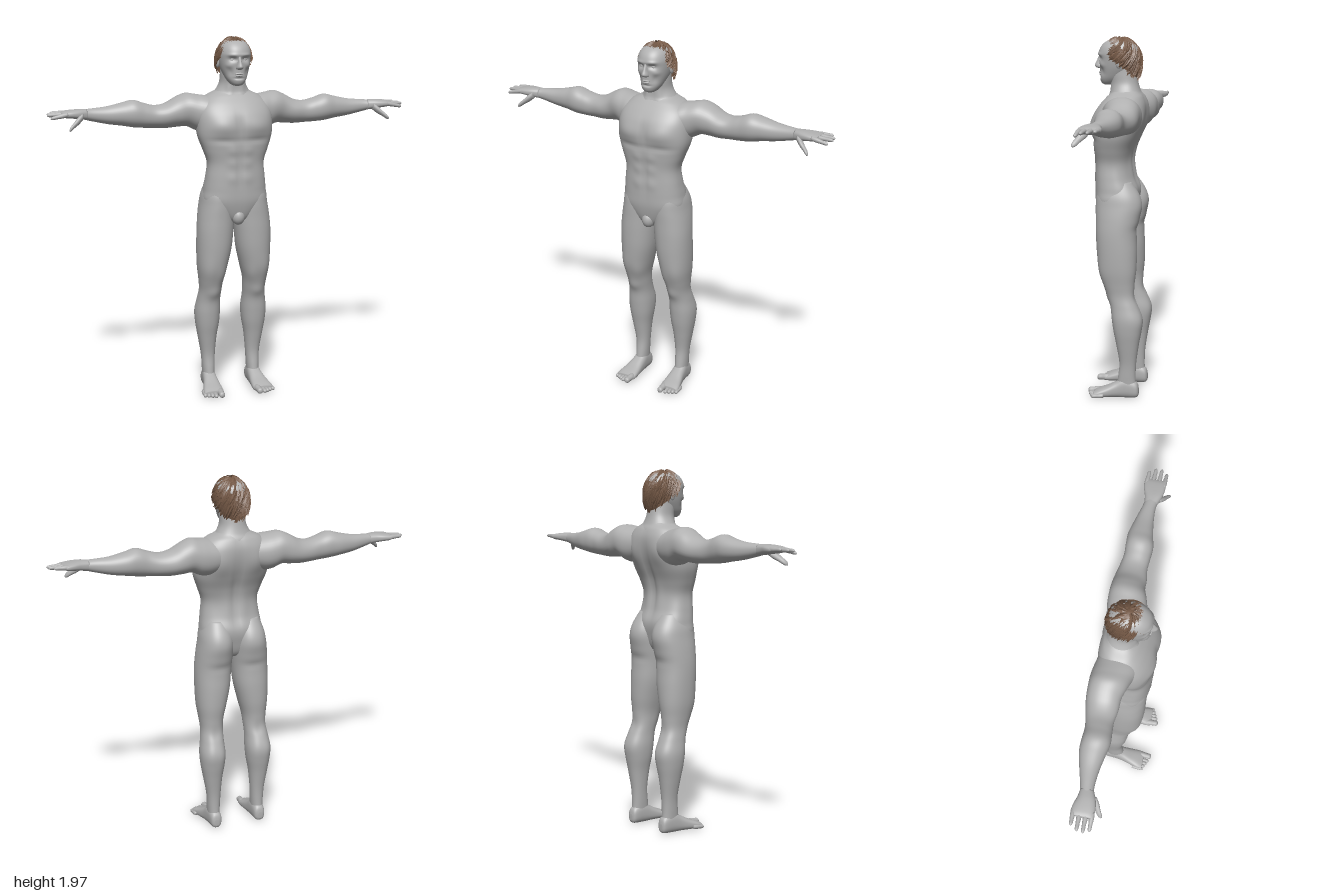
import * as THREE from 'three';

const skin = new THREE.MeshStandardMaterial({ color: 0xb0b0b0 });
skin.name = 'grey skin';
const brown = new THREE.MeshStandardMaterial({ color: 0x765a47, side: THREE.DoubleSide });
brown.name = 'brown hair';

const AXES = { x: [0, 1, 2], y: [1, 2, 0], z: [2, 0, 1] };

// Smooth skin through sections [t, a0, a1, b0, b1] along an axis (a, b follow it cyclically:
// x -> y,z   y -> z,x   z -> x,y). Bumps [x,y,z, sx,sy,sz, amount] push along the normal.
function loft(axis, rows, { power = 2.2, bumps = [], seg = 40, steps = 6 } = {}) {
  const [T, A, B] = AXES[axis], pos = [], idx = [];
  const add = (t, a, b) => { const p = [0, 0, 0]; p[T] = t; p[A] = a; p[B] = b; pos.push(...p); };
  const row = (i) => rows[Math.min(rows.length - 1, Math.max(0, i))];
  const n = (rows.length - 1) * steps;
  for (let i = 0; i <= n; i++) {
    const k = Math.min(rows.length - 2, Math.floor(i / steps)), u = i / steps - k;
    const [t, a0, a1, b0, b1] = row(k).map((p1, c) => {
      const p0 = row(k - 1)[c], p2 = row(k + 1)[c], p3 = row(k + 2)[c];
      return p1 + 0.5 * u * (p2 - p0 + u * (2 * p0 - 5 * p1 + 4 * p2 - p3 + u * (3 * (p1 - p2) + p3 - p0)));
    });
    for (let j = 0; j < seg; j++) {
      const w = (j / seg) * Math.PI * 2, c = Math.cos(w), s = Math.sin(w), e = 2 / power;
      add(t, (a0 + a1) / 2 + (a1 - a0) / 2 * Math.sign(c) * Math.abs(c) ** e,
        (b0 + b1) / 2 + (b1 - b0) / 2 * Math.sign(s) * Math.abs(s) ** e);
    }
  }
  for (let i = 0; i < n; i++) for (let j = 0; j < seg; j++) {
    const p = i * seg + j, q = i * seg + (j + 1) % seg;
    idx.push(p, q, p + seg, q, q + seg, p + seg);
  }
  for (const [r, ring, flip] of [[rows[0], 0, true], [rows[rows.length - 1], n, false]]) {
    const c = pos.length / 3;
    add(r[0], (r[1] + r[2]) / 2, (r[3] + r[4]) / 2);
    for (let j = 0; j < seg; j++) {
      const p = ring * seg + j, q = ring * seg + (j + 1) % seg;
      idx.push(c, flip ? q : p, flip ? p : q);
    }
  }
  const g = new THREE.BufferGeometry();
  g.setAttribute('position', new THREE.Float32BufferAttribute(pos, 3));
  g.setIndex(idx);
  g.computeVertexNormals();
  const P = g.attributes.position, N = g.attributes.normal;
  for (let i = 0; i < P.count; i++) {
    const v = new THREE.Vector3().fromBufferAttribute(P, i), m = new THREE.Vector3().fromBufferAttribute(N, i);
    let d = 0;
    for (const [x, y, z, sx, sy, sz, amt] of bumps)
      d += amt * Math.exp(-(((v.x - x) / sx) ** 2) - ((v.y - y) / sy) ** 2 - ((v.z - z) / sz) ** 2);
    v.addScaledVector(m, d);
    P.setXYZ(i, v.x, v.y, v.z);
  }
  g.computeVertexNormals();
  return g;
}

const ball = (x, y, z, rx, ry, rz) => new THREE.SphereGeometry(1, 20, 14).scale(rx, ry, rz).translate(x, y, z);

// Mirrored copy with its winding turned back outwards
function mirror(g) {
  const m = g.clone().scale(-1, 1, 1), ix = m.index.array;
  for (let i = 0; i < ix.length; i += 3) [ix[i], ix[i + 1]] = [ix[i + 1], ix[i]];
  m.computeVertexNormals();
  return m;
}
const both = (list) => list.flatMap((b) => [b, [-b[0], ...b.slice(1)]]);

// Rounded finger or toe whose centre runs from p to q
function digit(axis, p, q, r0, r1) {
  const [T, A, B] = AXES[axis];
  const rows = [[0, 0.8], [0.3, 1], [0.6, 0.92], [0.85, 0.95], [0.96, 0.65], [1, 0.1]].map(([u, k]) => {
    const c = p.map((v, i) => v + (q[i] - v) * u), r = (r0 + (r1 - r0) * u) * k;
    return [c[T], c[A] - r, c[A] + r, c[B] - r, c[B] + r];
  });
  return loft(axis, rows, { seg: 14, steps: 3, power: 2 });
}

// Point on the scalp: a = heading, t = crown to hairline, off = height above the scalp
function scalp(a, t, off) {
  const s = Math.sin(a), edge = s > 0 ? 1.83 + 0.07 * s : 1.83 + 0.08 * s;
  const phi = t * Math.acos((edge - 1.835) / 0.125);
  const r = Math.max(0, Math.sin(phi)) ** (phi > Math.PI / 2 ? 0.55 : 1);
  return [Math.cos(a) * r * (0.092 + off), 1.835 + Math.cos(phi) * (0.125 + off), s * r * (0.109 + off) - 0.004];
}

function hairCap() {
  const pos = [], idx = [], S = 48, R = 12;
  for (let i = 0; i <= R; i++) for (let j = 0; j < S; j++) pos.push(...scalp(j / S * Math.PI * 2, i / R, 0));
  for (let i = 0; i < R; i++) for (let j = 0; j < S; j++) {
    const p = i * S + j, q = i * S + (j + 1) % S;
    idx.push(p, q, p + S, q, q + S, p + S);
  }
  const g = new THREE.BufferGeometry();
  g.setAttribute('position', new THREE.Float32BufferAttribute(pos, 3));
  g.setIndex(idx);
  g.computeVertexNormals();
  // outward normals
  if (g.attributes.normal.getY(S * 2) < 0) { g.index.array.reverse(); g.computeVertexNormals(); }
  return g;
}

// Ridged, tapering locks sweeping down from the crown
function hairLocks() {
  let seed = 7;
  const rnd = () => (seed = (seed * 16807) % 2147483647) / 2147483647;
  const pos = [];
  for (let n = 0; n < 300; n++) {
    const a0 = rnd() * Math.PI * 2, t0 = 0.03 + 0.72 * Math.sqrt(rnd()), len = 0.24 + 0.12 * rnd();
    const swirl = 0.2 + 0.25 * rnd(), lift = 0.006 + 0.006 * rnd();
    let last = null;
    for (let k = 0; k <= 4; k++) {
      const u = k / 4, t = t0 + len * u, a = a0 + swirl * u;
      const w = 0.13 * (1.02 - u * u) / Math.max(0.35, Math.sin(t * 1.6));
      const ring = [scalp(a + w, t, 0.001 + 0.004 * u), scalp(a, t, lift), scalp(a - w, t, 0.001 + 0.004 * u)];
      if (last) for (const s of [0, 1])
        pos.push(...last[s], ...last[s + 1], ...ring[s], ...last[s + 1], ...ring[s + 1], ...ring[s]);
      last = ring;
    }
  }
  const g = new THREE.BufferGeometry();
  g.setAttribute('position', new THREE.Float32BufferAttribute(pos, 3));
  g.computeVertexNormals();
  return g;
}

export function createModel() {
  const model = new THREE.Group();
  model.name = 'standing man';
  const put = (name, g, mat = skin) => { const m = new THREE.Mesh(g, mat); m.name = name; model.add(m); };
  const pair = (name, g) => { put(name + 'Left', g); put(name + 'Right', mirror(g)); };

  // Torso, with chest, belly, shoulder blades and spine shaped by bumps
  put('torso', loft('y', [
    [0.965, 0.01, 0.07, -0.02, 0.02], [1.0, -0.07, 0.1, -0.09, 0.09], [1.08, -0.1, 0.122, -0.172, 0.172],
    [1.15, -0.108, 0.127, -0.172, 0.172], [1.22, -0.082, 0.127, -0.163, 0.163], [1.3, -0.07, 0.126, -0.156, 0.156],
    [1.37, -0.084, 0.132, -0.178, 0.178], [1.44, -0.112, 0.138, -0.202, 0.202], [1.5, -0.132, 0.14, -0.208, 0.208],
    [1.56, -0.143, 0.13, -0.205, 0.205], [1.61, -0.143, 0.1, -0.19, 0.19], [1.65, -0.13, 0.065, -0.15, 0.15],
    [1.675, -0.112, 0.04, -0.1, 0.1], [1.7, -0.1, 0.03, -0.06, 0.06],
  ], { power: 2.45, seg: 72, bumps: both([
    [0.09, 1.5, 0.13, 0.07, 0.045, 0.07, 0.013], [0.09, 1.425, 0.13, 0.08, 0.015, 0.06, -0.006],
    [0.04, 1.37, 0.13, 0.028, 0.025, 0.05, 0.005], [0.04, 1.3, 0.13, 0.028, 0.025, 0.05, 0.005],
    [0.04, 1.22, 0.13, 0.03, 0.03, 0.05, 0.005], [0.1, 1.53, -0.14, 0.05, 0.07, 0.06, 0.012],
    [0.045, 1.27, -0.07, 0.03, 0.09, 0.05, 0.006], [0, 1.5, 0.14, 0.014, 0.06, 0.05, -0.004],
    [0, 1.28, 0.13, 0.01, 0.12, 0.05, -0.003], [0, 1.4, -0.1, 0.02, 0.2, 0.07, -0.007],
  ]) }));
  put('groin', ball(0, 1.005, 0.083, 0.036, 0.045, 0.038));

  // Neck
  put('neck', loft('y', [
    [1.6, -0.14, 0.06, -0.12, 0.12], [1.65, -0.128, 0.055, -0.12, 0.12], [1.68, -0.112, 0.045, -0.092, 0.092],
    [1.72, -0.1, 0.045, -0.071, 0.071], [1.77, -0.092, 0.055, -0.067, 0.067], [1.82, -0.085, 0.05, -0.066, 0.066],
  ], { bumps: both([[0.035, 1.69, 0.045, 0.015, 0.05, 0.04, 0.006]]) }));

  // Head and face
  put('head', loft('y', [
    [1.712, 0.03, 0.085, -0.02, 0.02], [1.722, 0.01, 0.1, -0.036, 0.036], [1.745, -0.03, 0.108, -0.053, 0.053],
    [1.775, -0.06, 0.107, -0.066, 0.066], [1.81, -0.085, 0.108, -0.077, 0.077], [1.85, -0.1, 0.112, -0.084, 0.084],
    [1.885, -0.104, 0.114, -0.085, 0.085], [1.92, -0.092, 0.098, -0.074, 0.074], [1.945, -0.06, 0.065, -0.05, 0.05],
    [1.955, -0.01, 0.01, -0.01, 0.01],
  ], { seg: 96, steps: 8, bumps: both([
    [0.034, 1.852, 0.1, 0.02, 0.012, 0.04, -0.013], [0.034, 1.875, 0.105, 0.028, 0.008, 0.03, 0.005],
    [0.05, 1.82, 0.085, 0.018, 0.015, 0.03, 0.005], [0.045, 1.785, 0.09, 0.014, 0.022, 0.03, -0.005],
    [0, 1.752, 0.108, 0.025, 0.006, 0.03, -0.004],
  ]) }));
  put('nose', loft('y', [
    [1.798, 0.085, 0.114, -0.01, 0.01], [1.803, 0.08, 0.13, -0.018, 0.018], [1.814, 0.08, 0.139, -0.018, 0.018],
    [1.835, 0.08, 0.13, -0.012, 0.012], [1.86, 0.08, 0.118, -0.01, 0.01], [1.88, 0.08, 0.112, -0.012, 0.012],
  ], { seg: 20, power: 2 }));
  put('upperLip', ball(0, 1.777, 0.104, 0.024, 0.006, 0.01));
  put('lowerLip', ball(0, 1.767, 0.103, 0.021, 0.006, 0.01));
  pair('eye', ball(0.034, 1.851, 0.082, 0.016, 0.01, 0.014));
  pair('ear', ball(0.086, 1.835, -0.012, 0.01, 0.032, 0.019).rotateY(0));

  // Hair
  put('hairCap', hairCap(), brown);
  put('hairLocks', hairLocks(), brown);

  // Arms held out to the sides
  pair('arm', loft('x', [
    [0.08, 1.48, 1.645, -0.135, 0.07], [0.15, 1.462, 1.655, -0.15, 0.07], [0.2, 1.468, 1.662, -0.157, 0.05],
    [0.25, 1.49, 1.668, -0.157, 0.03], [0.3, 1.488, 1.65, -0.155, 0.015], [0.36, 1.484, 1.618, -0.146, 0.01],
    [0.42, 1.487, 1.608, -0.137, 0.005], [0.48, 1.49, 1.622, -0.128, 0.01], [0.54, 1.495, 1.64, -0.13, 0.014],
    [0.6, 1.505, 1.627, -0.13, 0.002], [0.68, 1.517, 1.61, -0.112, -0.012], [0.76, 1.535, 1.603, -0.09, -0.018],
    [0.81, 1.548, 1.6, -0.08, -0.012],
  ], { bumps: [
    [0.25, 1.6, 0.02, 0.06, 0.05, 0.05, 0.006], [0.36, 1.56, 0.01, 0.06, 0.04, 0.04, 0.006],
    [0.34, 1.54, -0.15, 0.07, 0.04, 0.04, 0.005],
  ] }));
  pair('palm', loft('x', [
    [0.79, 1.545, 1.6, -0.082, -0.014], [0.83, 1.55, 1.602, -0.088, 0.002], [0.87, 1.556, 1.6, -0.1, 0.01],
    [0.905, 1.56, 1.596, -0.105, 0.01], [0.925, 1.57, 1.59, -0.1, 0.006],
  ], { power: 2.6 }));
  const fingers = [[0.002, 0.985, 1.562], [-0.027, 1.0, 1.576], [-0.058, 0.997, 1.578], [-0.09, 0.975, 1.582]];
  fingers.forEach(([z, tip, y], i) => pair('finger' + (i + 1),
    digit('x', [0.895, 1.58, z - 0.002], [tip, y, z], 0.014, 0.009)));
  pair('thumb', digit('x', [0.815, 1.568, -0.015], [0.895, 1.502, 0.037], 0.024, 0.012));

  // Legs
  pair('leg', loft('y', [
    [0.06, -0.118, -0.01, 0.1, 0.162], [0.12, -0.115, -0.018, 0.096, 0.165], [0.2, -0.118, -0.025, 0.092, 0.17],
    [0.3, -0.132, -0.01, 0.083, 0.187], [0.38, -0.146, 0.006, 0.07, 0.2], [0.45, -0.15, 0.016, 0.065, 0.204],
    [0.52, -0.128, 0.024, 0.068, 0.194], [0.58, -0.108, 0.042, 0.066, 0.187], [0.64, -0.106, 0.063, 0.06, 0.192],
    [0.72, -0.114, 0.088, 0.04, 0.202], [0.82, -0.116, 0.102, 0.018, 0.206], [0.92, -0.113, 0.108, 0.008, 0.205],
    [1.0, -0.127, 0.11, 0.003, 0.198], [1.07, -0.14, 0.112, 0.003, 0.187], [1.13, -0.125, 0.108, 0.01, 0.176],
    [1.2, -0.08, 0.085, 0.03, 0.15],
  ], { seg: 48, bumps: [
    [0.125, 0.57, 0.04, 0.03, 0.035, 0.04, 0.007], [0.085, 0.67, 0.06, 0.03, 0.05, 0.05, 0.005],
    [0.16, 0.7, 0.07, 0.035, 0.07, 0.05, 0.004], [0.1, 0.44, -0.14, 0.03, 0.06, 0.04, 0.004],
    [0.165, 0.45, -0.14, 0.03, 0.06, 0.04, 0.004], [0.09, 0.945, -0.12, 0.07, 0.02, 0.04, -0.005],
    [0.125, 0.56, -0.11, 0.03, 0.04, 0.04, -0.006],
  ] }));

  // Feet
  pair('foot', loft('z', [
    [-0.132, 0.118, 0.145, 0.02, 0.055], [-0.118, 0.1, 0.16, 0.004, 0.09], [-0.06, 0.095, 0.167, 0, 0.115],
    [-0.01, 0.092, 0.174, 0, 0.09], [0.04, 0.088, 0.187, 0, 0.064], [0.085, 0.086, 0.198, 0, 0.046],
    [0.112, 0.09, 0.197, 0.003, 0.034],
  ], { power: 2.5 }));
  for (let i = 0; i < 5; i++) {
    const x = i ? 0.118 + 0.0185 * i : 0.107, r = i ? 0.0125 : 0.019;
    pair('toe' + (i + 1), digit('z', [x, r + 0.006, 0.085 - 0.008 * i], [x + 0.004, r, 0.157 - 0.009 * i], r, r * 0.9));
  }
  return model;
}
